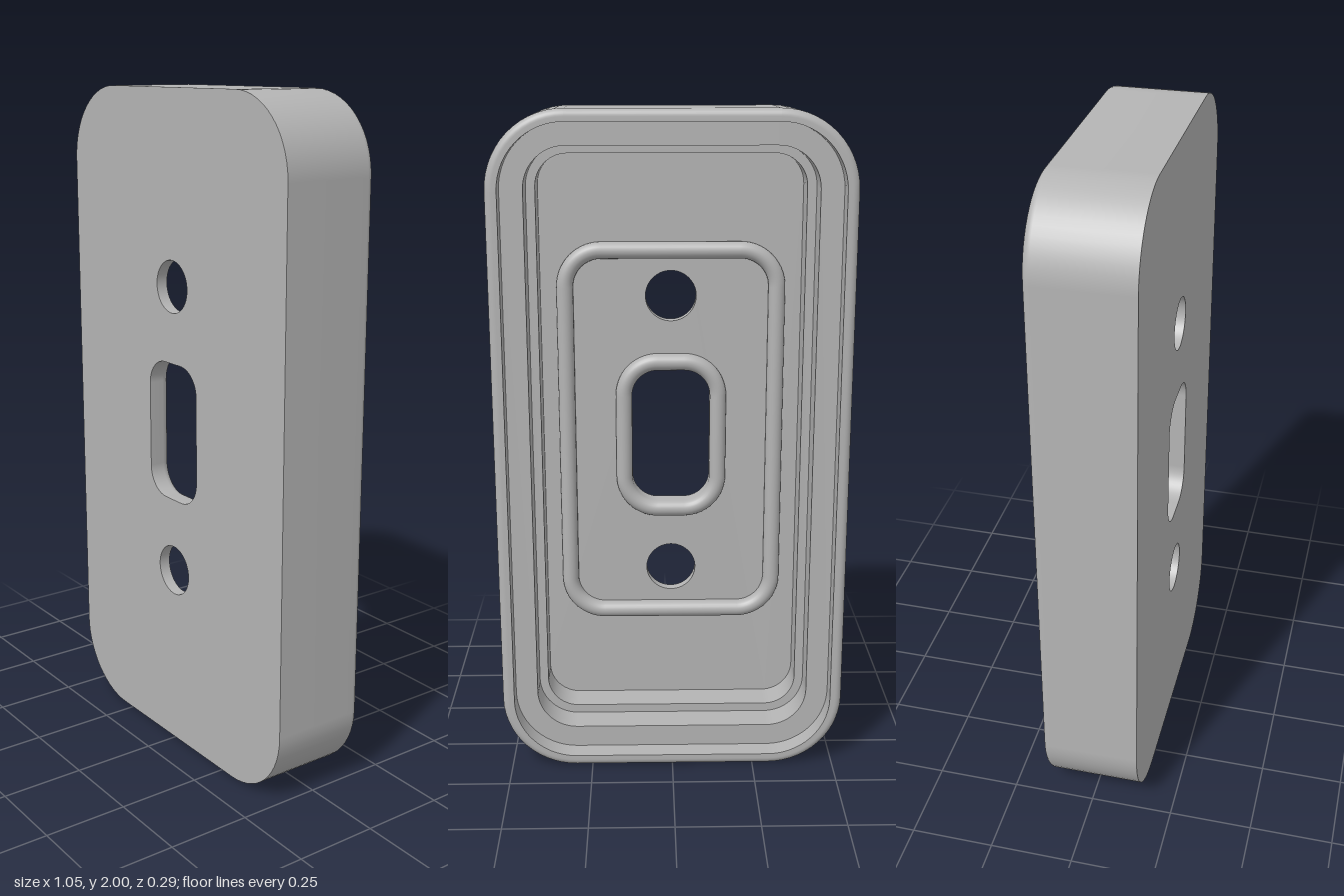
import * as THREE from 'three';

const FRONT = 0.147, FLOOR = 0.112, BACK = -0.147;

// Rounded-rectangle outline: corner centres plus outward directions, counter-clockwise
function outline(hw, hh, r, y = 1, steps = 14) {
  const pts = [];
  for (let q = 0; q < 4; q++) {
    const cx = (q === 0 || q === 3 ? 1 : -1) * (hw - r);
    const cy = y + (q < 2 ? 1 : -1) * (hh - r);
    for (let i = 0; i <= steps; i++) {
      const a = (q + i / steps) * Math.PI / 2;
      pts.push({ cx, cy, nx: Math.cos(a), ny: Math.sin(a), r });
    }
  }
  return pts;
}

const at = (p, o) => new THREE.Vector2(p.cx + p.nx * (p.r + o), p.cy + p.ny * (p.r + o));

// Sweep a profile of [offset, z] points round an outline, keeping sharp corners creased
function sweep(path, profile) {
  const pos = [], nor = [], idx = [], n = path.length;
  const segN = profile.slice(1).map(([o, z], i) =>
    new THREE.Vector2(profile[i][1] - z, o - profile[i][0]).normalize());
  const blend = (a, b) => (b && a.dot(b) > 0.8 ? a.clone().add(b).normalize() : a);
  segN.forEach((s, k) => {
    const base = pos.length / 3;
    [[profile[k], blend(s, segN[k - 1])], [profile[k + 1], blend(s, segN[k + 1])]].forEach(([[o, z], m]) => {
      for (const p of path) {
        const v = at(p, o);
        pos.push(v.x, v.y, z);
        nor.push(p.nx * m.x, p.ny * m.x, m.y);
      }
    });
    for (let i = 0; i < n; i++) {
      const a = base + i, b = base + (i + 1) % n;
      idx.push(a, a + n, b, b, a + n, b + n);
    }
  });
  const g = new THREE.BufferGeometry();
  g.setAttribute('position', new THREE.Float32BufferAttribute(pos, 3));
  g.setAttribute('normal', new THREE.Float32BufferAttribute(nor, 3));
  g.setIndex(idx);
  return g;
}

// Arc in the profile plane
function arc(o, z, r, a0, a1, steps = 8) {
  return Array.from({ length: steps + 1 }, (_, i) => {
    const a = a0 + (a1 - a0) * i / steps;
    return [o + r * Math.cos(a), z + r * Math.sin(a)];
  });
}

// Flat sheet inside an outline with the openings cut out
function sheet(path, offset, openings) {
  const shape = new THREE.Shape(path.map(p => at(p, offset)));
  for (const h of openings) shape.holes.push(new THREE.Path(h.map(p => at(p, 0))));
  return new THREE.ShapeGeometry(shape);
}

export function createModel() {
  const group = new THREE.Group();
  const grey = new THREE.MeshStandardMaterial({ color: 0xb4b4b4 });
  grey.name = 'grey';
  const add = (name, geometry) => {
    const mesh = new THREE.Mesh(geometry, grey);
    mesh.name = name;
    group.add(mesh);
    return mesh;
  };

  const body = outline(0.524, 1, 0.225);
  const slot = outline(0.12, 0.21, 0.08, 1.003);
  const holes = [1.441, 0.566].map(y => outline(0.077, 0.077, 0.077, y));
  const openings = [slot, ...holes];

  // Outer wall, rounded rim and stepped inner wall
  add('steppedShell', sweep(body, [
    [0, FRONT],
    ...arc(-0.022, BACK + 0.022, 0.022, 0, -Math.PI / 2),
    [-0.036, BACK], [-0.036, -0.082],
    [-0.103, -0.082], [-0.103, 0.013],
    [-0.13, 0.013], [-0.13, FLOOR],
  ]));

  // Front face and recessed floor
  add('frontFace', sheet(body, 0, openings)).position.z = FRONT;
  const floor = sheet(body, -0.13, openings);
  floor.rotateY(Math.PI);
  add('recessedFloor', floor).position.z = FLOOR;

  // Screw hole walls
  holes.forEach((h, i) =>
    add(i ? 'lowerHole' : 'upperHole', sweep(h, [[0, FLOOR], [0, FRONT]])));

  // Rounded ridges round the slot and round the whole opening area
  const bead = [[0.05, FLOOR], ...arc(0.025, FLOOR - 0.01, 0.025, 0, -Math.PI, 12)];
  add('slotRidge', sweep(slot, [...bead, [0, FRONT]]));
  add('outerRidge', sweep(outline(0.295, 0.552, 0.085, 1.003), [...bead, [0, FLOOR]]));

  return group;
}
